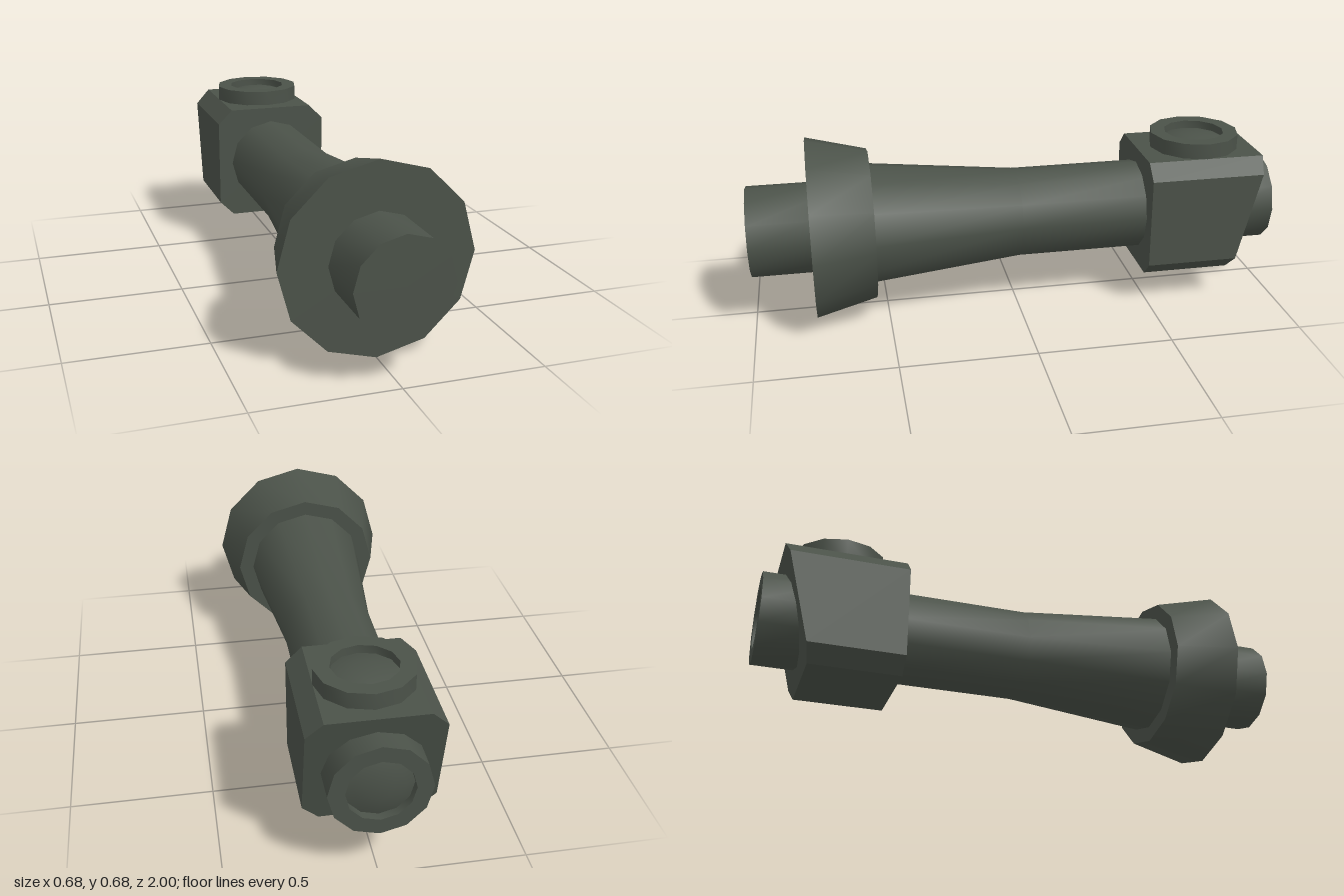
import * as THREE from 'three';
import { toCreasedNormals } from 'three/addons/utils/BufferGeometryUtils.js';

const AXIS = 0.343; // height of the optical axis
const R = 0.171; // tube radius

// Twelve-sided turned part: smooth round the sides, sharp at the rims
function turned(profile) {
  const points = profile.map(([r, h]) => new THREE.Vector2(r, h));
  return toCreasedNormals(new THREE.LatheGeometry(points, 12), 0.6);
}

// Short collar with a recessed, slightly domed lens
function lensCollar(bottom, top) {
  return turned([
    [R, bottom], [R, top], [0.115, top], [0.115, top - 0.03],
    [0.085, top - 0.02], [0.045, top - 0.012], [0, top - 0.01],
  ]);
}

// Octagonal prism whose rear face leans back towards the top
function housingGeometry() {
  const w = 0.227, c = 0.057, low = 0.115, high = 0.572;
  const outline = new THREE.Shape([
    [w - c, low], [w, low + c], [w, high - c], [w - c, high],
    [c - w, high], [-w, high - c], [-w, low + c], [c - w, low],
  ].map(([x, y]) => new THREE.Vector2(x, y)));
  const geo = new THREE.ExtrudeGeometry(outline, { depth: 1, bevelEnabled: false });
  const pos = geo.attributes.position;
  for (let i = 0; i < pos.count; i++) {
    const t = (pos.getY(i) - low) / (high - low);
    const back = -0.825 - 0.113 * t;
    pos.setZ(i, pos.getZ(i) > 0.5 ? -0.49 : back);
  }
  return toCreasedNormals(geo, 0.3);
}

export function createModel() {
  const group = new THREE.Group();
  const paint = new THREE.MeshStandardMaterial({ color: 0x4b5249 });
  paint.name = 'dark olive grey';

  const add = (name, geometry, y = 0, z = 0) => {
    const mesh = new THREE.Mesh(geometry, paint);
    mesh.name = name;
    mesh.position.set(0, y, z);
    group.add(mesh);
  };

  // Main tube flaring towards the front
  add('mainTube', turned([[R, -0.55], [R, -0.01], [0.228, 0.55]]).rotateX(Math.PI / 2), AXIS);

  // Conical front hood and the solid barrel projecting from it
  add('frontHood', turned([[0, 0.545], [0.285, 0.545], [0.342, 0.772], [0, 0.772]]).rotateX(Math.PI / 2), AXIS);
  add('frontBarrel', turned([[R, 0.76], [R, 1], [0, 1]]).rotateX(Math.PI / 2), AXIS);

  // Prism housing with one lens behind and one on top
  add('prismHousing', housingGeometry());
  add('rearEyepiece', lensCollar(0.8, 1).rotateX(-Math.PI / 2), AXIS);
  add('topLens', lensCollar(0.55, 0.63), 0, -0.717);

  return group;
}
